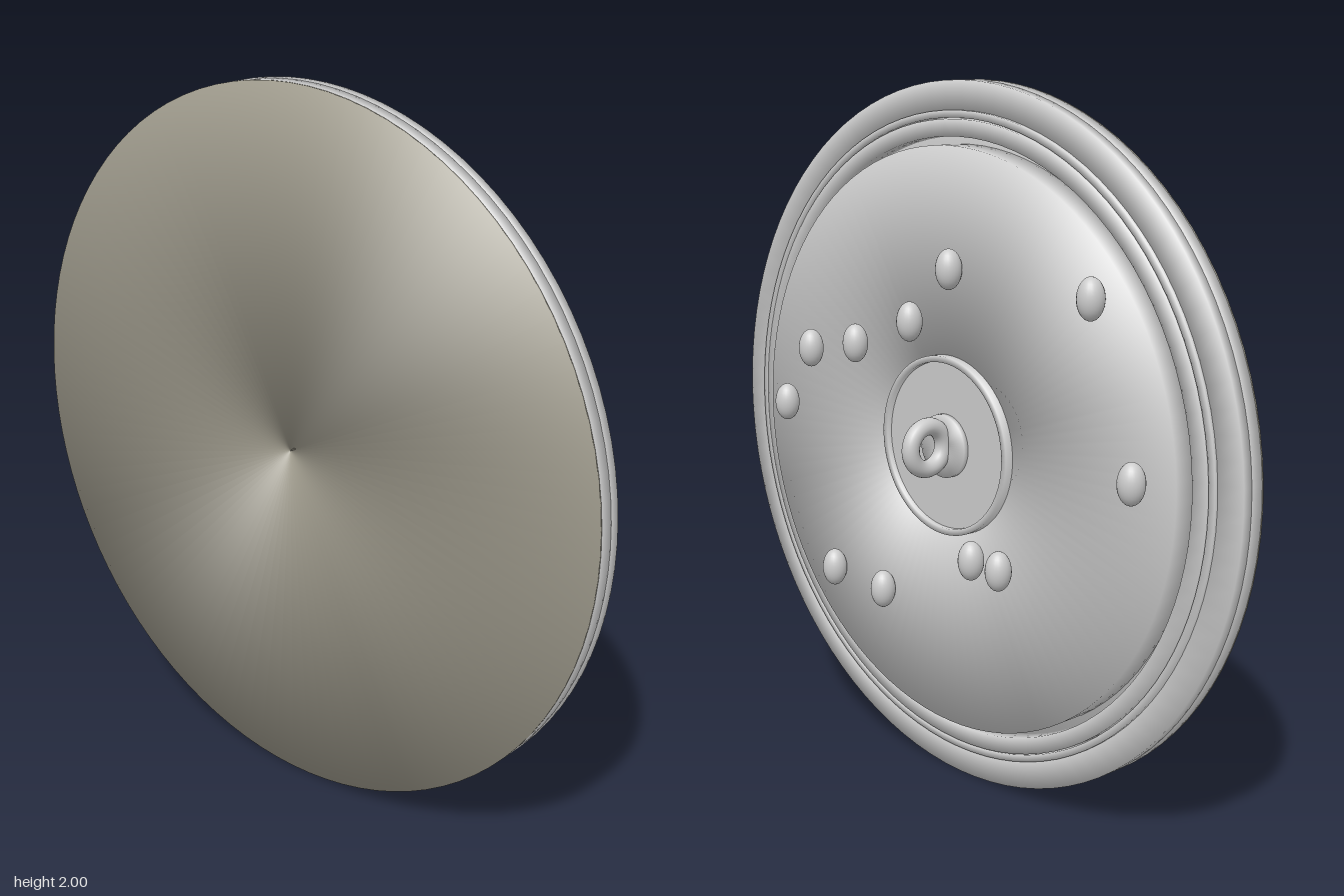
import * as THREE from 'three';

const paint = new THREE.MeshStandardMaterial({ color: 0xcccccc });
paint.name = 'light grey';
const backing = new THREE.MeshStandardMaterial({ color: 0x9d998b });
backing.name = 'warm grey';

// Turned ring with a rectangular section and softened corner normals; axis is local y.
function turned(r0, r1, a, b, segments = 96) {
  const pts = [[r0, a], [r1, a], [r1, b], [r0, b], [r0, a]].map(p => new THREE.Vector2(...p));
  const geo = new THREE.LatheGeometry(pts, segments);
  const corner = [[-1, -1], [1, -1], [1, 1], [-1, 1], [-1, -1]];
  const normal = geo.attributes.normal;
  for (let i = 0; i <= segments; i++) {
    const t = (i / segments) * Math.PI * 2;
    corner.forEach(([r, y], j) => {
      const k = Math.SQRT1_2;
      normal.setXYZ(i * 5 + j, r * k * Math.sin(t), y * k, r * k * Math.cos(t));
    });
  }
  return geo;
}

export function createModel() {
  const model = new THREE.Group();
  model.name = 'roundShield';

  // Everything turned shares the x axis through (y = 1)
  const disc = new THREE.Group();
  disc.name = 'disc';
  disc.rotation.z = -Math.PI / 2;
  disc.position.y = 1;
  model.add(disc);

  const addTo = (parent, name, geo, mat = paint) => {
    const mesh = new THREE.Mesh(geo, mat);
    mesh.name = name;
    parent.add(mesh);
    return mesh;
  };

  // Back face, rims and stepped rings
  addTo(disc, 'backPlate', turned(0.001, 1, -0.145, -0.14), backing);
  addTo(disc, 'rimBack', turned(0.3, 1, -0.14, -0.1));
  addTo(disc, 'rimFront', turned(0.915, 1, -0.1, -0.07));
  addTo(disc, 'thinRing', turned(0.9, 0.92, -0.1, -0.06));
  addTo(disc, 'stepRing', turned(0.85, 0.897, -0.1, -0.058));
  addTo(disc, 'facePlate', turned(0.255, 0.828, -0.1, -0.025));

  // Centre hub
  addTo(disc, 'hubRing', turned(0.237, 0.255, -0.1, 0));
  const floor = addTo(disc, 'hubFloor', new THREE.CylinderGeometry(0.238, 0.238, 0.08, 64));
  floor.position.y = -0.055;
  addTo(disc, 'loopBase', turned(0.001, 0.09, -0.02, 0, 48));

  // Pull loop
  const loop = addTo(model, 'loop', new THREE.TorusGeometry(0.06, 0.025, 20, 48));
  loop.position.set(0.057, 1.005, 0);

  // Scattered oval studs: x, y, z
  const studs = [
    [0.025, 1.04, -0.725], [0.008, 1.48, -0.56], [0.035, 0.705, -0.265], [0.015, 0.7, -0.135],
    [0.007, 1.5, -0.033], [0.02, 1.34, 0.115], [0.007, 0.52, 0.255], [0.03, 1.25, 0.343],
    [0.01, 0.535, 0.48], [0.038, 1.21, 0.542], [0.02, 1.02, 0.69],
  ];
  const oval = new THREE.SphereGeometry(0.037, 24, 16).scale(1, 1.52, 1);
  studs.forEach(p => addTo(model, 'stud', oval).position.set(...p));

  return model;
}
